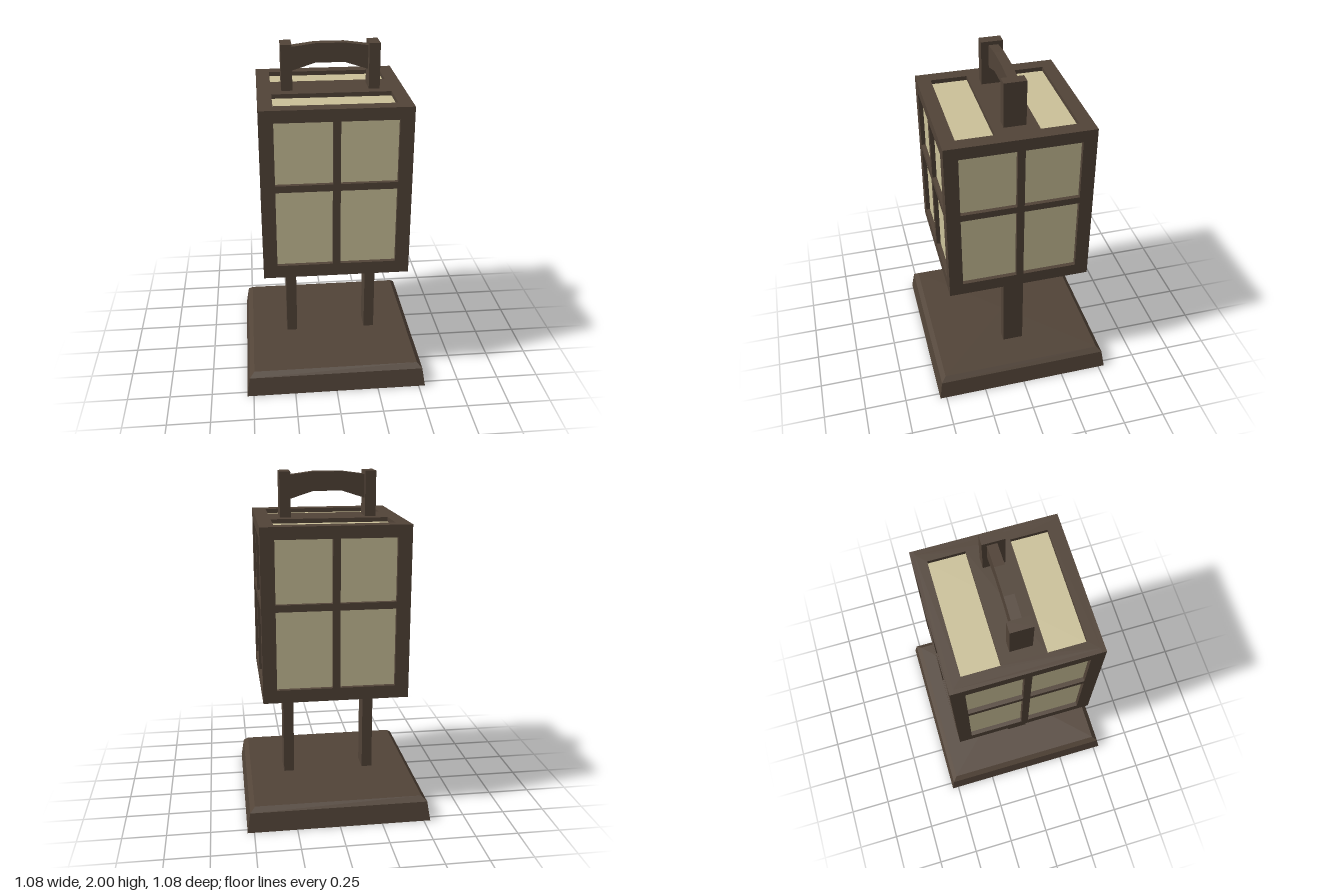
import * as THREE from 'three';

const wood = new THREE.MeshStandardMaterial({ color: 0x524438 });
wood.name = 'darkWood';
const paper = new THREE.MeshStandardMaterial({ color: 0xccc29a });
paper.name = 'ricePaper';

const C = 0.006;              // the lantern sits slightly off the base centre
const H = 0.418;              // half width of the lantern box
const T = 0.025;              // thickness of the frames
const Y0 = 0.74, Y1 = 1.74;   // bottom and top of the lantern box

function add(parent, name, geometry, material, x = 0, y = 0, z = 0) {
  const mesh = new THREE.Mesh(geometry, material);
  mesh.name = name;
  mesh.position.set(x, y, z);
  parent.add(mesh);
  return mesh;
}

const rectPoints = (x0, y0, x1, y1) => [[x0, y0], [x1, y0], [x1, y1], [x0, y1]].map(p => new THREE.Vector2(...p));

// Flat board with rectangular openings, outer face towards +z
function lattice(x0, y0, x1, y1, openings) {
  const shape = new THREE.Shape(rectPoints(x0, y0, x1, y1));
  for (const o of openings) shape.holes.push(new THREE.Path(rectPoints(...o).reverse()));
  return new THREE.ExtrudeGeometry(shape, { depth: T, bevelEnabled: false });
}

// Square block with sloping sides
function frustum(top, bottom, height) {
  const g = new THREE.CylinderGeometry(top * Math.SQRT2, bottom * Math.SQRT2, height, 4, 1);
  g.rotateY(Math.PI / 4);
  const flat = g.toNonIndexed();
  flat.computeVertexNormals();
  return flat;
}

export function createModel() {
  const model = new THREE.Group();
  model.name = 'standingLantern';

  // Base with a chamfered upper edge
  const base = new THREE.Group();
  base.name = 'base';
  model.add(base);
  add(base, 'baseBlock', frustum(0.521, 0.539, 0.115), wood, 0, 0.0575, 0);
  add(base, 'baseChamfer', frustum(0.492, 0.521, 0.027), wood, 0, 0.1285, 0);

  const lantern = new THREE.Group();
  lantern.name = 'lantern';
  lantern.position.set(C, 0, C);
  model.add(lantern);

  // Paper core, seen through the openings
  const inner = H - T;
  add(lantern, 'paperPanes', new THREE.BoxGeometry(2 * inner, Y1 - Y0 - 2 * T, 2 * inner), paper, 0, (Y0 + Y1) / 2, 0);

  // Four side frames, each with four openings
  const openings = [];
  for (const [a, b] of [[-0.339, -0.021], [0.021, 0.339]]) {
    openings.push([a, 0.815, b, 1.27], [a, 1.31, b, 1.67]);
  }
  ['frontFrame', 'leftFrame', 'backFrame', 'rightFrame'].forEach((name, i) => {
    const w = i % 2 ? inner : H;
    const side = add(lantern, name, lattice(-w, Y0, w, Y1, openings), wood);
    side.rotation.y = i * Math.PI / 2;
    side.position.set(Math.sin(side.rotation.y) * inner, 0, Math.cos(side.rotation.y) * inner);
  });

  // Top frame with two long openings, and a solid floor
  const roof = lattice(-inner, -inner, inner, inner, [[-0.338, -0.338, 0.338, -0.125], [-0.338, 0.125, 0.338, 0.338]]);
  add(lantern, 'topFrame', roof, wood, 0, Y1 - T, 0).rotation.x = -Math.PI / 2;
  add(lantern, 'floor', new THREE.BoxGeometry(2 * inner, T, 2 * inner), wood, 0, Y0 + T / 2, 0);

  // Posts running from the base to the handle
  for (const s of [-1, 1]) {
    add(lantern, s > 0 ? 'leftPost' : 'rightPost', new THREE.BoxGeometry(0.063, 1.87, 0.126), wood, s * 0.248, 1.065, 0);
  }

  // Arched handle between the posts
  const arch = new THREE.Shape([
    [-0.22, 1.842], [-0.083, 1.886], [0.083, 1.886], [0.22, 1.842],
    [0.22, 1.978], [0.083, 1.996], [-0.083, 1.996], [-0.22, 1.978],
  ].map(p => new THREE.Vector2(...p)));
  add(lantern, 'handle', new THREE.ExtrudeGeometry(arch, { depth: 0.056, bevelEnabled: false }), wood, 0, 0, -0.036);

  return model;
}
